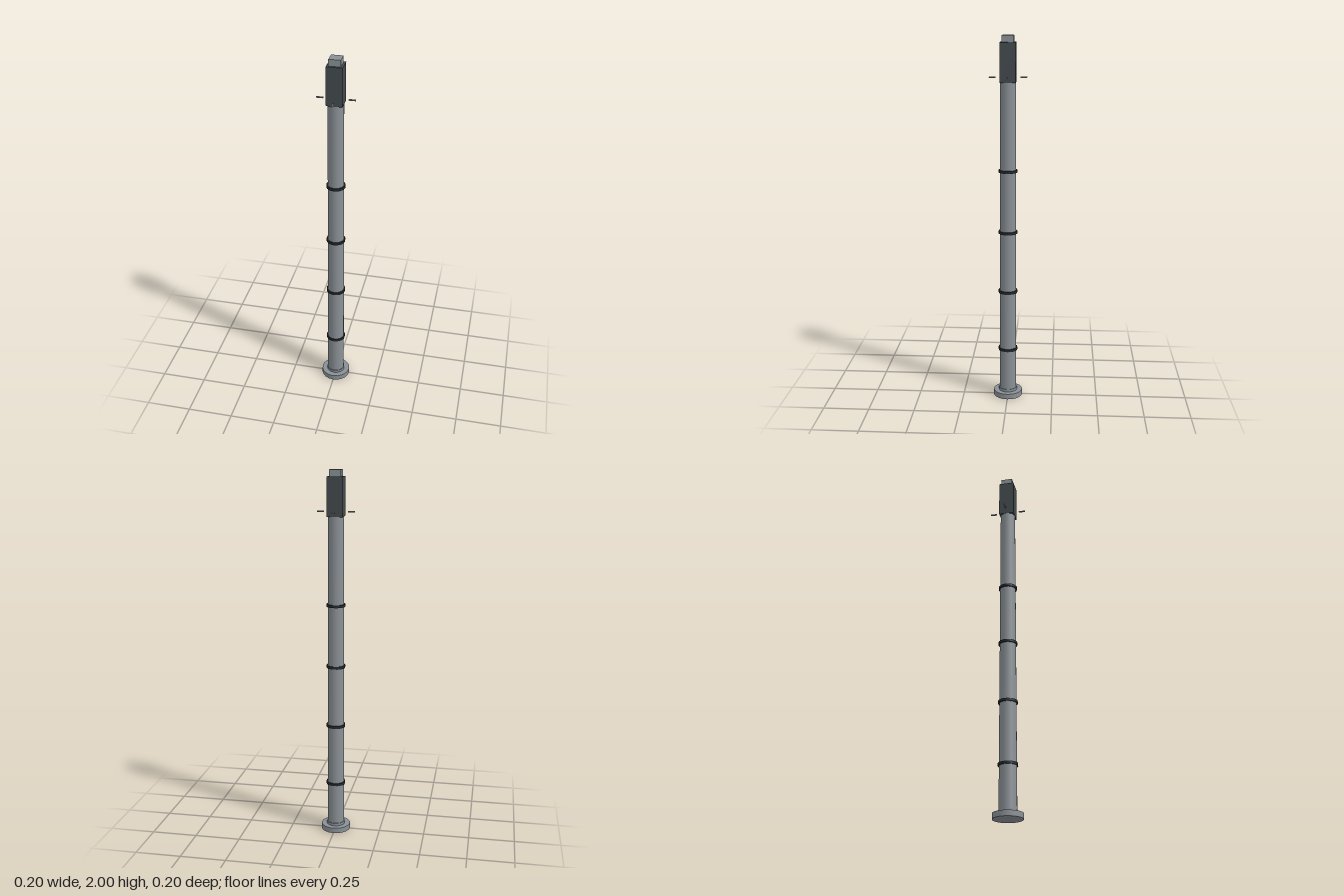
import * as THREE from 'three';

export function createModel() {
  const root = new THREE.Group();
  const steel = new THREE.MeshStandardMaterial({ color: 0x8a9196 });
  const dark = new THREE.MeshStandardMaterial({ color: 0x444a4e });
  const black = new THREE.MeshStandardMaterial({ color: 0x25292c });

  // Adds a named mesh centred at a height
  const add = (name, geometry, material, y, x = 0, z = 0) => {
    const mesh = new THREE.Mesh(geometry, material);
    mesh.name = name;
    mesh.position.set(x, y, z);
    root.add(mesh);
    return mesh;
  };
  const round = (top, bottom, height, sides = 20) =>
    new THREE.CylinderGeometry(top, bottom, height, sides);

  // Foot and slightly tapered pole
  add('baseFlange', round(0.08, 0.08, 0.03), steel, 0.015);
  add('baseCollar', round(0.05, 0.05, 0.015), steel, 0.0375);
  add('pole', round(0.0415, 0.047, 1.73), steel, 0.895);

  // Joint bands, evenly spaced up the pole
  for (let i = 0; i < 4; i++) {
    const r = 0.0525 - i * 0.0007;
    add('jointBand', round(r, r, 0.014), black, 0.279 + i * 0.337);
  }

  // Square head and cap
  add('headHousing', new THREE.BoxGeometry(0.084, 0.205, 0.084), dark, 1.8625);
  add('headCap', new THREE.BoxGeometry(0.062, 0.036, 0.062), steel, 1.982);

  // Four short rods standing around the head
  for (let i = 0; i < 4; i++) {
    const a = i * Math.PI / 2;
    const rod = add('sideRod', round(0.0045, 0.0045, 0.035, 8), steel, 1.785,
      0.0825 * Math.cos(a), 0.0825 * Math.sin(a));
    rod.rotation.set(0, -a, -Math.PI / 2);
  }
  return root;
}
